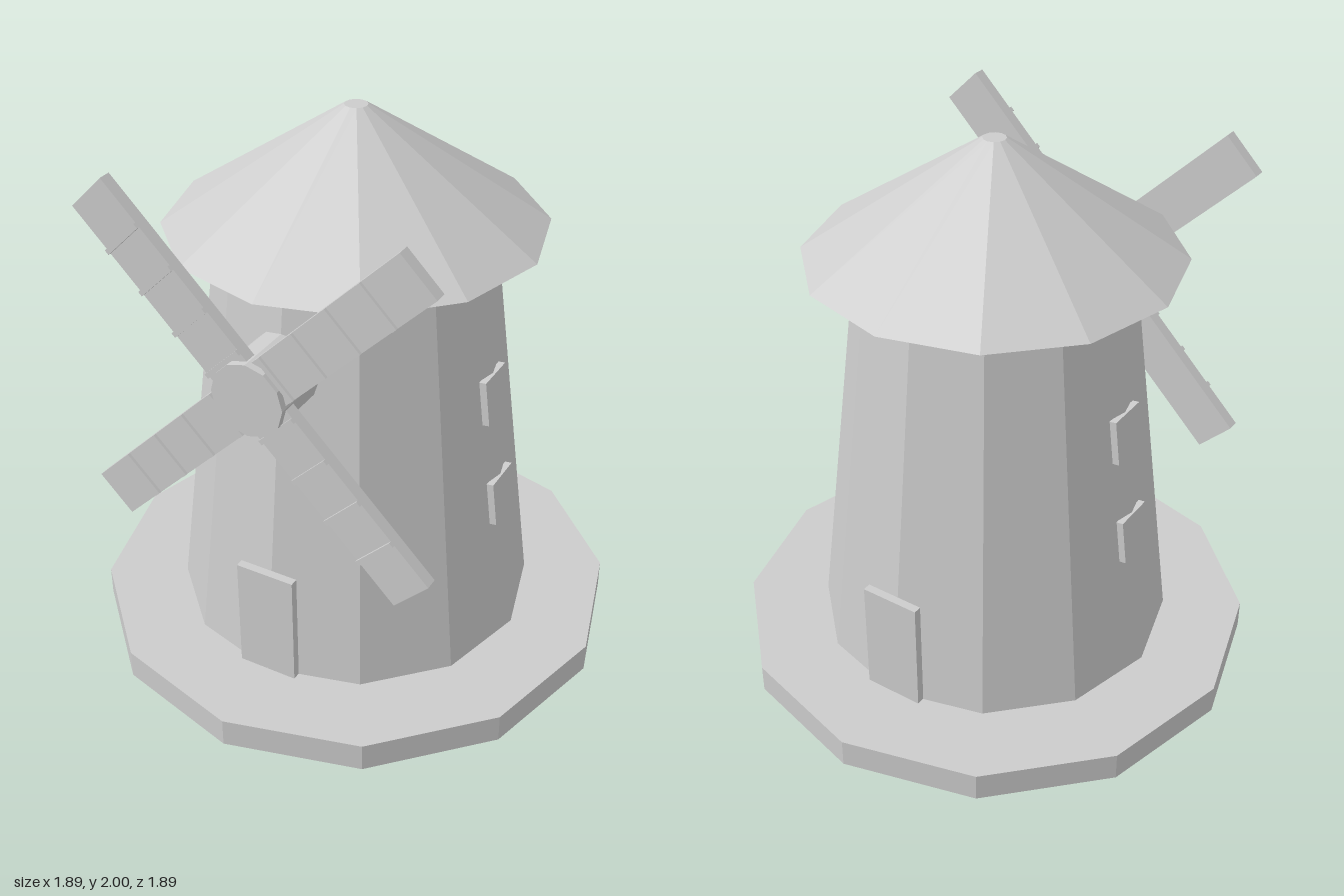
import * as THREE from 'three';

export function createModel() {
  const model = new THREE.Group();
  model.name = 'windmill';
  const stone = new THREE.MeshStandardMaterial({ color: 0xcccccc, flatShading: true });
  stone.name = 'pale grey';

  function add(parent, name, geometry, x, y, z) {
    const mesh = new THREE.Mesh(geometry, stone);
    mesh.name = name;
    mesh.position.set(x, y, z);
    parent.add(mesh);
    return mesh;
  }

  // Twelve-sided base, tapered tower and roof
  const drum = (top, bottom, y0, y1) => new THREE.CylinderGeometry(top, bottom, y1 - y0, 12).translate(0, (y0 + y1) / 2, 0);
  add(model, 'base', drum(0.945, 0.945, 0, 0.105), 0, 0, 0);
  add(model, 'tower', drum(0.472, 0.65, 0.105, 1.585), 0, 0, 0);
  add(model, 'roof', drum(0.04, 0.655, 1.585, 2), 0, 0, 0);

  // Doors front and back, two leaning windows on each side
  const lean = Math.atan2(0.178, 1.48);
  for (const side of [1, -1]) {
    add(model, side > 0 ? 'frontDoor' : 'backDoor',
      new THREE.BoxGeometry(0.218, 0.425, 0.03), 0, 0.3175, side * 0.634);
    for (const [x, y] of [[0.532, 1.06], [0.579, 0.66]]) {
      const pane = add(model, side > 0 ? 'leftWindow' : 'rightWindow',
        new THREE.BoxGeometry(0.025, 0.165, 0.155), side * x, y, 0);
      pane.rotation.z = side * lean;
    }
  }

  // Sail wheel: hub and four ribbed blades
  const wheel = new THREE.Group();
  wheel.name = 'sailWheel';
  wheel.position.y = 1.267;
  model.add(wheel);
  add(wheel, 'hub', new THREE.CylinderGeometry(0.131, 0.131, 0.31, 12).rotateX(Math.PI / 2), 0, 0, 0.555);
  for (let i = 0; i < 4; i++) {
    const sail = new THREE.Group();
    sail.name = 'sail';
    sail.rotation.z = Math.PI / 4 + i * Math.PI / 2;
    wheel.add(sail);
    add(sail, 'blade', new THREE.BoxGeometry(0.715, 0.17, 0.045), 0.4535, 0, 0.662);
    for (let r = 0; r < 4; r++) {
      add(sail, 'rib', new THREE.BoxGeometry(0.018, 0.17, 0.015), 0.135 + r * 0.165, 0, 0.688);
    }
  }
  return model;
}
